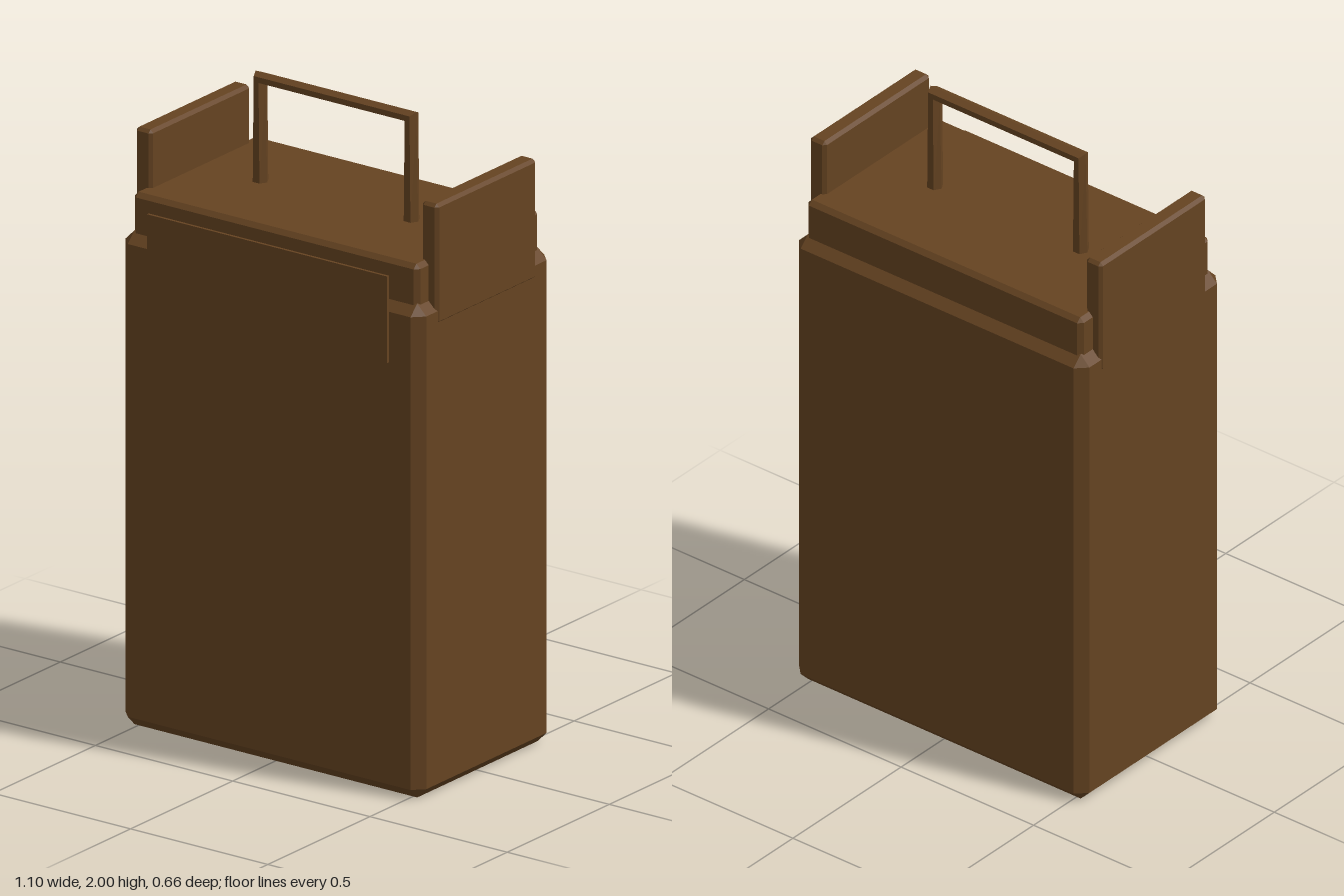
import * as THREE from 'three';
import { ConvexGeometry } from 'three/addons/geometries/ConvexGeometry.js';

const brown = new THREE.MeshStandardMaterial({ color: 0x654321 });
brown.name = 'dark brown';
const MID_Z = -0.006; // depth centre of everything but the front panel

// Box with flat chamfers of width c on every edge
function chamferBox(w, h, d, c) {
  const points = [];
  for (const sx of [-1, 1]) for (const sy of [-1, 1]) for (const sz of [-1, 1]) {
    for (let axis = 0; axis < 3; axis++) {
      const inset = [c, c, c];
      inset[axis] = 0;
      points.push(new THREE.Vector3(
        sx * (w / 2 - inset[0]), sy * (h / 2 - inset[1]), sz * (d / 2 - inset[2])));
    }
  }
  return new ConvexGeometry(points);
}

// Six-sided bar swept along a path in the xy plane; corner rings sit on the bisector
function sweptBar(path, radius, sides) {
  const rings = path.map((p, i) => {
    const dir = new THREE.Vector2();
    if (i > 0) dir.add(p.clone().sub(path[i - 1]).normalize());
    if (i < path.length - 1) dir.add(path[i + 1].clone().sub(p).normalize());
    dir.normalize();
    return Array.from({ length: sides }, (_, k) => {
      const a = k / sides * Math.PI * 2;
      const r = Math.cos(a) * radius;
      return [p.x - dir.y * r, p.y + dir.x * r, Math.sin(a) * radius];
    });
  });
  const pos = [];
  for (let i = 0; i < rings.length - 1; i++) {
    for (let k = 0; k < sides; k++) {
      const n = (k + 1) % sides;
      const a = rings[i][k], b = rings[i][n], c = rings[i + 1][n], d = rings[i + 1][k];
      pos.push(...a, ...b, ...c, ...a, ...c, ...d);
    }
  }
  const geometry = new THREE.BufferGeometry();
  geometry.setAttribute('position', new THREE.Float32BufferAttribute(pos, 3));
  geometry.computeVertexNormals();
  return geometry;
}

export function createModel() {
  const model = new THREE.Group();
  model.name = 'case';
  const add = (name, geometry, x, y, z) => {
    const mesh = new THREE.Mesh(geometry, brown);
    mesh.name = name;
    mesh.position.set(x, y, z);
    model.add(mesh);
  };

  // Tall body and the lid set into its top
  add('body', chamferBox(1.096, 1.54, 0.655, 0.033), 0, 0.77, MID_Z);
  add('lid', chamferBox(1.04, 0.18, 0.6, 0.014), 0, 1.57, MID_Z);

  // Upright plates on both sides
  for (const [name, s] of [['leftPlate', 1], ['rightPlate', -1]]) {
    add(name, chamferBox(0.06, 0.375, 0.49, 0.01), s * 0.521, 1.6525, MID_Z);
  }

  // Thin panel on the front
  add('frontPanel', new THREE.BoxGeometry(0.875, 0.27, 0.009), 0, 1.485, 0.327);

  // Carrying handle
  const path = [[-0.275, 1.64], [-0.275, 1.982], [0.275, 1.982], [0.275, 1.64]]
    .map(([x, y]) => new THREE.Vector2(x, y));
  add('handle', sweptBar(path, 0.025, 6), 0, 0, MID_Z);

  return model;
}
